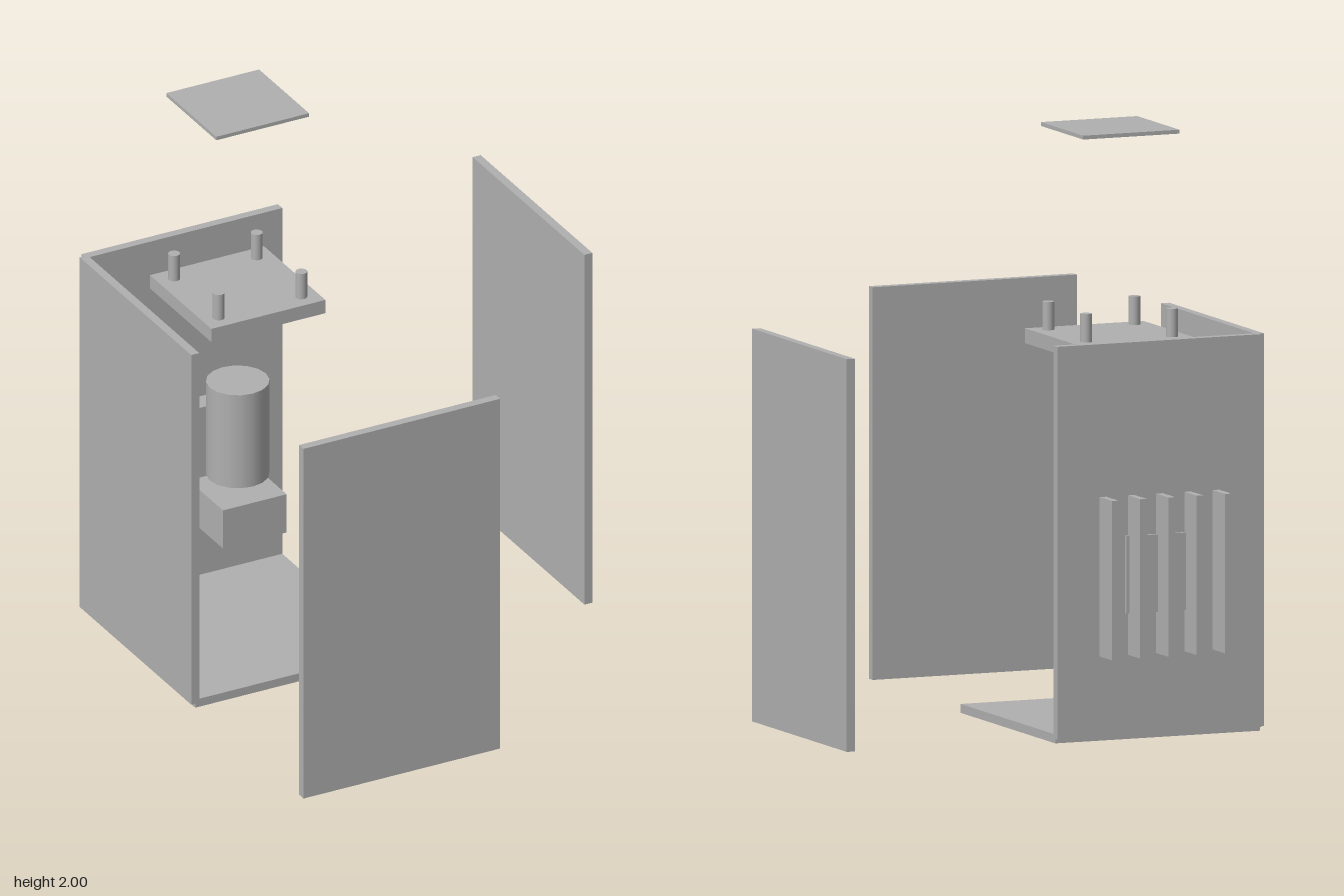
import * as THREE from 'three';

export function createModel() {
  const model = new THREE.Group();
  model.name = 'explodedEnclosure';
  const grey = new THREE.MeshStandardMaterial({ color: 0xb0b0b0 });
  grey.name = 'plain grey';

  const CX = -0.371, CZ = -0.321; // centre of the enclosure

  // Box given by its lowest and highest corner
  function box(name, [x0, y0, z0], [x1, y1, z1]) {
    const mesh = new THREE.Mesh(new THREE.BoxGeometry(x1 - x0, y1 - y0, z1 - z0), grey);
    mesh.position.set((x0 + x1) / 2, (y0 + y1) / 2, (z0 + z1) / 2);
    mesh.name = name;
    model.add(mesh);
  }
  // Box centred on the enclosure axis
  function centredBox(name, w, y0, y1, d, z = CZ) {
    box(name, [CX - w / 2, y0, z - d / 2], [CX + w / 2, y1, z + d / 2]);
  }
  function cylinder(name, r, y0, y1, x, z, sides) {
    const mesh = new THREE.Mesh(new THREE.CylinderGeometry(r, r, y1 - y0, sides), grey);
    mesh.position.set(x, (y0 + y1) / 2, z);
    mesh.name = name;
    model.add(mesh);
  }

  // Enclosure panels, with front and left panels pulled away
  const BOTTOM = 0.015, TOP = 1.333;
  box('basePanel', [-0.742, 0, -0.712], [0, 0.03, 0.07]);
  box('backPanel', [-0.742, BOTTOM, -0.728], [0, TOP, -0.697]);
  box('frontPanel', [-0.742, BOTTOM, 0.797], [0, TOP, 0.828]);
  box('rightPanel', [-0.757, BOTTOM, -0.712], [-0.727, TOP, 0.07]);
  box('leftPanel', [0.727, BOTTOM, -0.712], [0.757, TOP, 0.07]);

  // Top plate with four posts, and the pad lifted above it
  centredBox('topPlate', 0.43, 1.255, 1.305, 0.43);
  for (const sx of [-1, 1]) {
    for (const sz of [-1, 1]) {
      cylinder('post', 0.02, 1.305, 1.4, CX + sx * 0.156, CZ + sz * 0.156, 16);
    }
  }
  centredBox('liftedPad', 0.35, 1.987, 2, 0.35);

  // Inner drum above its block
  cylinder('drum', 0.106, 0.605, 0.955, CX, CZ, 16);
  centredBox('drumBlock', 0.24, 0.408, 0.552, 0.24);

  // Module board and the plate set through the back panel
  centredBox('moduleBoard', 0.327, 0.352, 0.745, 0.072, -0.591);
  centredBox('backInsert', 0.25, 0.425, 0.685, 0.049, -0.717);

  // Cooling fins on the back
  for (let i = -2; i <= 2; i++) {
    const x = CX + i * 0.1025;
    box('coolingFin', [x - 0.012, 0.285, -0.829], [x + 0.012, 0.82, -0.722]);
  }

  return model;
}
